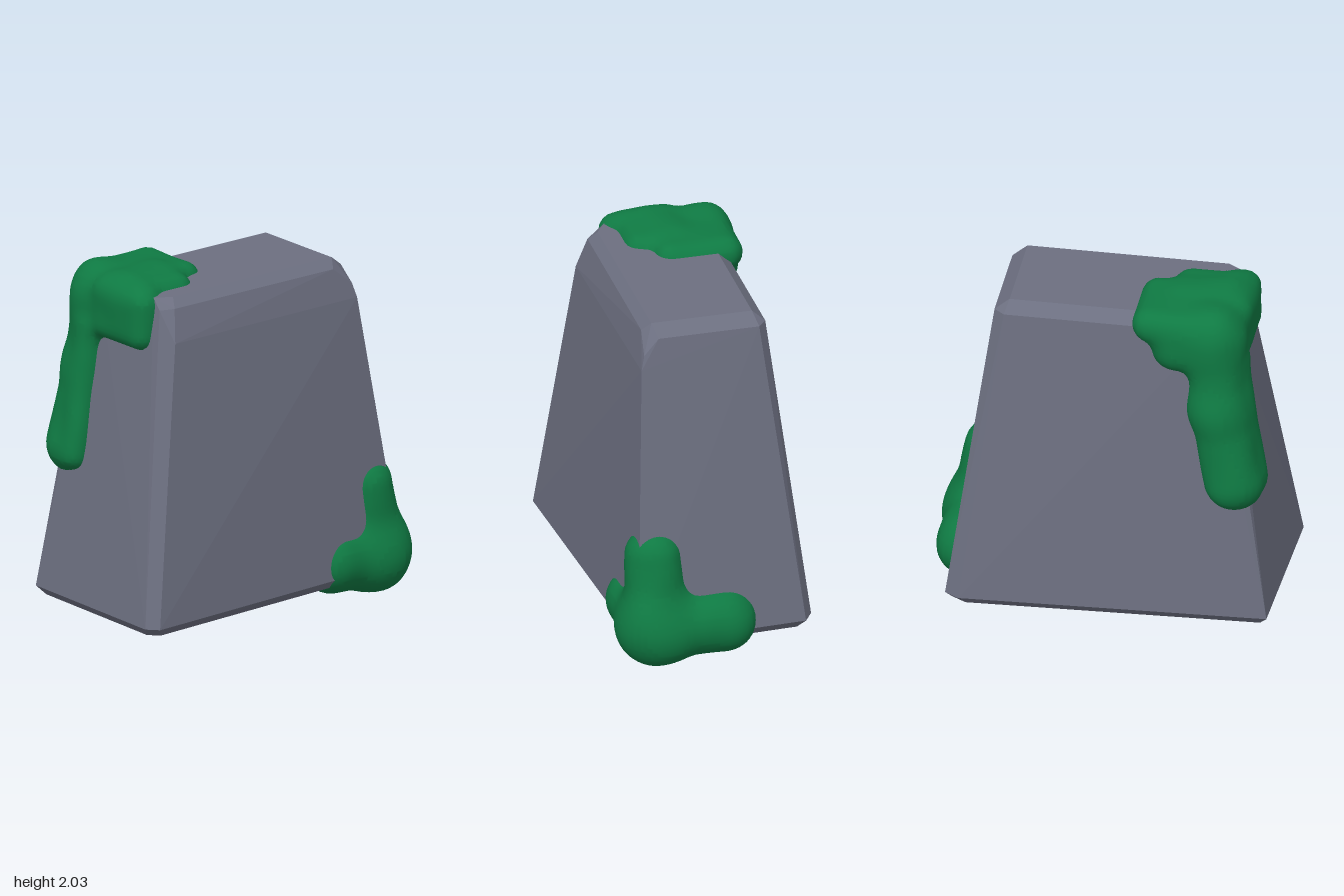
import * as THREE from 'three';
import { ConvexGeometry } from 'three/addons/geometries/ConvexGeometry.js';

const V = (x, y, z) => new THREE.Vector3(x, y, z);

// Distance shapes for the soft moss clumps
function capsule(a, b, ra, rb = ra) {
  const A = V(...a), d = V(...b).sub(A), p = V(), len2 = d.lengthSq() || 1;
  return (x, y, z) => {
    p.set(x, y, z).sub(A);
    const t = Math.min(1, Math.max(0, p.dot(d) / len2));
    return p.addScaledVector(d, -t).length() - (ra + (rb - ra) * t);
  };
}
function roundBox(c, half, r) {
  return (x, y, z) => {
    const q = [x, y, z].map((v, i) => Math.abs(v - c[i]) - half[i] + r);
    return Math.hypot(...q.map(v => Math.max(v, 0))) + Math.min(Math.max(...q), 0) - r;
  };
}
// Smooth union with a faint ripple
function blend(shapes, k) {
  return (x, y, z) => {
    const d = shapes.reduce((acc, s) => {
      const e = s(x, y, z), h = Math.max(k - Math.abs(acc - e), 0) / k;
      return Math.min(acc, e) - h * h * k / 4;
    }, 10);
    return d + 0.006 * Math.sin(15 * x + 1) * Math.sin(13 * y) * Math.sin(14 * z + 2);
  };
}

// Turns a distance field into a smooth closed mesh on a regular grid
function skin(f, min, max, h) {
  const n = min.map((m, i) => Math.ceil((max[i] - m) / h) + 1);
  const stride = [1, n[0], n[0] * n[1]];
  const total = n[0] * n[1] * n[2];
  const at = id => [id % n[0], Math.floor(id / n[0]) % n[1], Math.floor(id / stride[2])];
  const val = new Float32Array(total);
  for (let id = 0; id < total; id++) val[id] = f(...at(id).map((v, i) => min[i] + v * h));

  const pos = [], index = [], made = new Map();
  const vertex = id => {
    if (made.has(id)) return made.get(id);
    const p = at(id).map((v, i) => min[i] + (v + 0.5) * h), e = 0.004;
    for (let s = 0; s < 4; s++) {
      const d = f(...p);
      const g = [0, 1, 2].map(i => {
        const q = [...p], r = [...p];
        q[i] += e; r[i] -= e;
        return (f(...q) - f(...r)) / (2 * e);
      });
      const g2 = Math.max(0.3, g[0] ** 2 + g[1] ** 2 + g[2] ** 2);
      for (let i = 0; i < 3; i++) p[i] -= 0.8 * d * g[i] / g2;
    }
    made.set(id, pos.length / 3);
    pos.push(...p);
    return made.get(id);
  };
  for (let id = 0; id < total; id++) {
    const c = at(id);
    if (c.some((v, i) => v < 1 || v > n[i] - 2)) continue;
    for (let a = 0; a < 3; a++) {
      const inside = val[id] < 0;
      if (inside === val[id + stride[a]] < 0) continue;
      const sb = stride[(a + 1) % 3], sc = stride[(a + 2) % 3];
      const q = [id - sb - sc, id - sc, id, id - sb].map(vertex);
      if (!inside) q.reverse();
      index.push(q[0], q[1], q[2], q[0], q[2], q[3]);
    }
  }
  const geo = new THREE.BufferGeometry();
  geo.setAttribute('position', new THREE.Float32BufferAttribute(pos, 3));
  geo.setIndex(index);
  geo.computeVertexNormals();
  return geo;
}

export function createModel() {
  const group = new THREE.Group();
  const stone = new THREE.MeshStandardMaterial({ color: 0x6c6f80, flatShading: true });
  const green = new THREE.MeshStandardMaterial({ color: 0x0f7a43 });
  const add = (name, geo, mat) => {
    const mesh = new THREE.Mesh(geo, mat);
    mesh.name = name;
    group.add(mesh);
  };

  // Tapered rock with bevelled edges: foot outline, shoulder break, bevel ring, top
  const foot = [[0.5, 0.975], [0.56, 0.92], [0.45, -0.88], [-0.51, -0.84], [-0.56, -0.76], [-0.49, 0.94]];
  const points = foot.flatMap(([x, z]) => [V(x, 0.15, z), V(x * 0.92, 0.1, z * 0.955)]);
  points.push(
    V(0.385, 1.7, 0.67), V(0.365, 1.7, -0.63),
    V(0.33, 1.88, 0.63), V(0.28, 1.87, 0.695), V(0.33, 1.88, -0.49), V(0.345, 1.78, -0.61),
    V(0.26, 1.87, -0.6), V(-0.31, 1.87, -0.6), V(-0.36, 1.87, -0.54),
    V(-0.36, 1.87, 0.6), V(-0.33, 1.85, 0.68),
    V(0.28, 1.93, -0.52), V(-0.29, 1.93, -0.52), V(-0.29, 1.93, 0.62),
    V(0.28, 1.93, 0.6), V(0.22, 1.93, 0.69), V(-0.25, 1.93, 0.69)
  );
  add('rock', new ConvexGeometry(points), stone);

  // Moss draped over the top and hanging down the front edge
  const drape = blend([
    roundBox([-0.2, 1.885, 0.45], [0.25, 0.1, 0.28], 0.1),
    roundBox([0.0, 1.885, 0.54], [0.18, 0.1, 0.21], 0.1),
    roundBox([0.01, 1.79, 0.71], [0.23, 0.17, 0.09], 0.085),
    capsule([-0.31, 1.75, 0.42], [-0.3, 1.78, 0.6], 0.15, 0.17),
    capsule([-0.3, 1.8, 0.62], [-0.36, 1.4, 0.65], 0.165, 0.15),
    capsule([-0.36, 1.4, 0.65], [-0.385, 0.96, 0.74], 0.15, 0.165),
    capsule([-0.27, 1.65, 0.73], [-0.27, 0.93, 0.84], 0.065)
  ], 0.08);
  add('topMoss', skin(drape, [-0.7, 0.65, 0], [0.4, 2.12, 1.05], 0.03), green);

  // Three-lobed moss clump around the lower back corner
  const corner = [0.32, 0.2, -0.77];
  const clump = blend([
    capsule(corner, [-0.05, 0.2, -0.78], 0.185),
    capsule(corner, [0.34, 0.21, -0.47], 0.185, 0.18),
    capsule(corner, [0.32, 0.61, -0.715], 0.185, 0.155)
  ], 0.1);
  add('cornerMoss', skin(clump, [-0.4, -0.12, -1.12], [0.68, 0.92, -0.15], 0.03), green);

  return group;
}
